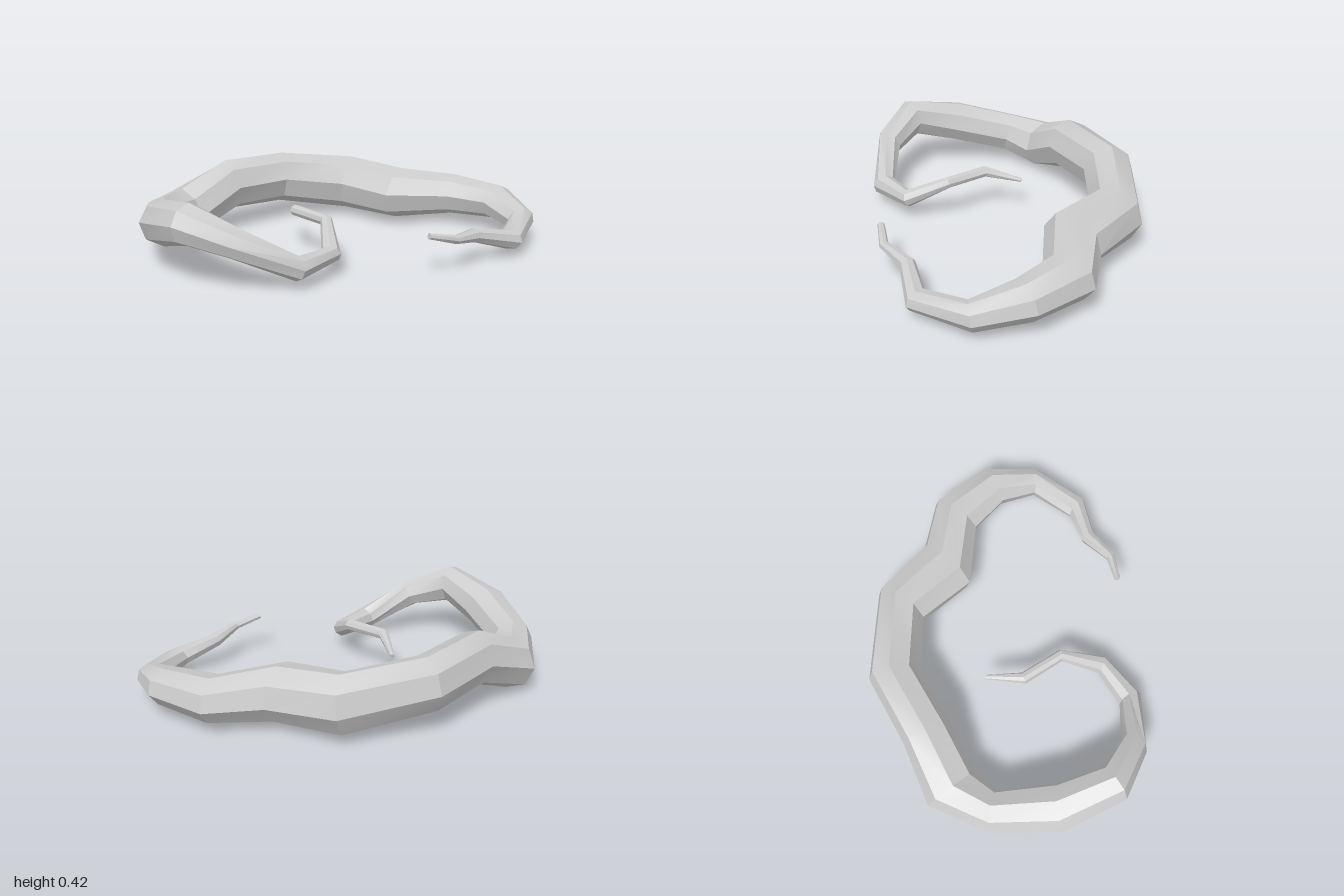
import * as THREE from 'three';
import { toCreasedNormals } from 'three/addons/utils/BufferGeometryUtils.js';

const SIDES = 8;

// Stations along the curl: outer x, z, inner x, z, centre height, half thickness
const RINGS = [
  [-0.24, -0.01, -0.26, 0.005, 0.17, 0.012],
  [-0.1, 0.12, -0.125, 0.18, 0.215, 0.03],
  [0.14, 0.16, 0.105, 0.215, 0.21, 0.032],
  [0.325, 0.33, 0.235, 0.375, 0.105, 0.048],
  [0.325, 0.615, 0.2, 0.58, 0.095, 0.062],
  [0.08, 0.88, 0.04, 0.735, 0.235, 0.08],
  [-0.18, 0.99, -0.16, 0.785, 0.307, 0.107],
  [-0.52, 0.89, -0.36, 0.69, 0.24, 0.118],
  [-0.785, 0.64, -0.61, 0.5, 0.16, 0.118],
  [-0.93, 0.31, -0.627, 0.34, 0.13, 0.138],
  [-0.82, 0.0, -0.565, 0.09, 0.245, 0.145],
  [-0.73, -0.4, -0.5, -0.24, 0.228, 0.145],
  [-0.37, -0.77, -0.28, -0.485, 0.177, 0.157],
  [0.0, -0.82, 0.05, -0.475, 0.162, 0.145],
  [0.24, -1.0, 0.31, -0.72, 0.15, 0.115],
  [0.59, -0.975, 0.54, -0.745, 0.15, 0.096],
  [0.83, -0.8, 0.73, -0.68, 0.105, 0.072],
  [0.925, -0.46, 0.79, -0.44, 0.085, 0.053],
  [0.79, -0.24, 0.71, -0.26, 0.14, 0.038],
  [0.775, -0.06, 0.725, -0.07, 0.165, 0.024],
  [0.685, 0.075, 0.655, 0.055, 0.2, 0.016],
];

// Eight-sided tube, each ring spanning its outer and inner point
function taperedTube(rings) {
  const centres = rings.map(([ox, oz, ix, iz, y]) => new THREE.Vector3((ox + ix) / 2, y, (oz + iz) / 2));
  const last = rings.length - 1;
  const step = (i) => centres[i + 1].clone().sub(centres[i]).normalize();
  const positions = [];
  const index = [];

  rings.forEach(([ox, oz, ix, iz, , thickness], i) => {
    const tangent = step(Math.max(i - 1, 0)).add(step(Math.min(i, last - 1)));
    const outer = new THREE.Vector3((ox - ix) / 2, 0, (oz - iz) / 2);
    const up = tangent.cross(outer).setLength(thickness);
    // The section rolls slightly as the curl goes round
    const roll = THREE.MathUtils.lerp(5, -9, THREE.MathUtils.smoothstep(i, 7, 13));
    for (let j = 0; j < SIDES; j++) {
      const a = THREE.MathUtils.degToRad(roll) + (j / SIDES) * Math.PI * 2;
      const p = centres[i].clone()
        .addScaledVector(outer, Math.cos(a))
        .addScaledVector(up, Math.sin(a));
      positions.push(p.x, p.y, p.z);
    }
  });

  for (let i = 0; i < last; i++) {
    for (let j = 0; j < SIDES; j++) {
      const k = (j + 1) % SIDES;
      const a = i * SIDES + j, b = i * SIDES + k;
      const c = a + SIDES, d = b + SIDES;
      index.push(a, b, c, b, d, c);
    }
  }
  // Flat caps on both tips
  const end = last * SIDES;
  for (let j = 1; j < SIDES - 1; j++) {
    index.push(0, j + 1, j, end, end + j, end + j + 1);
  }

  const geometry = new THREE.BufferGeometry();
  geometry.setAttribute('position', new THREE.Float32BufferAttribute(positions, 3));
  geometry.setIndex(index);
  return toCreasedNormals(geometry, 0.5);
}

export function createModel() {
  const group = new THREE.Group();
  group.name = 'curledTendril';
  const material = new THREE.MeshStandardMaterial({ color: 0xcccccc });
  const tendril = new THREE.Mesh(taperedTube(RINGS), material);
  tendril.name = 'tendril';

  // Rest the lowest edge on the ground
  tendril.geometry.computeBoundingBox();
  tendril.position.y = -tendril.geometry.boundingBox.min.y;
  group.add(tendril);
  return group;
}
